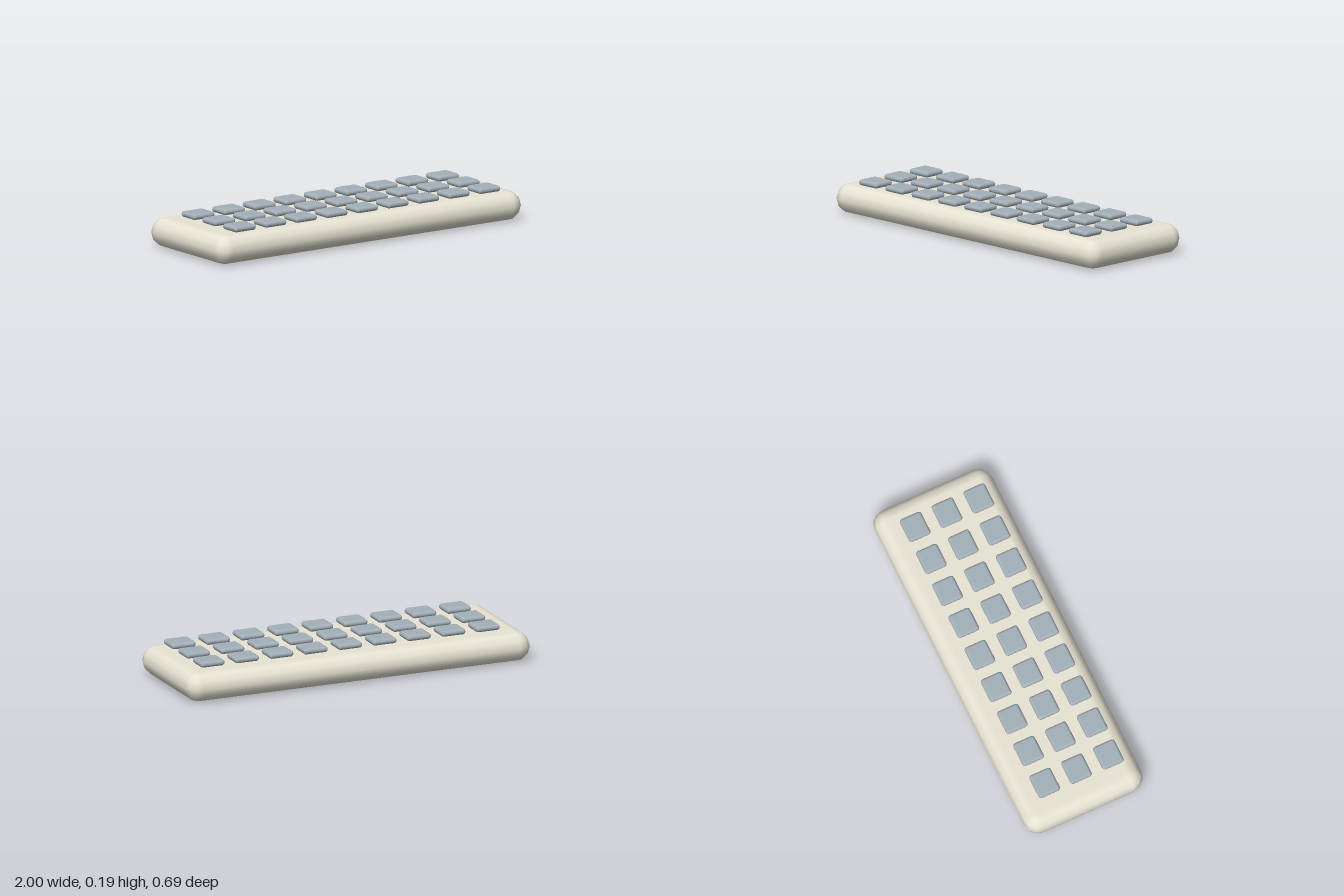
import * as THREE from 'three';

const STEPS = 3; // facets per quarter round

// Slab with fully rounded edges and ball corners, stacked from rounded-rectangle rings.
function roundedSlab(width, height, depth) {
  const r = height / 2;
  const hx = width / 2 - r, hz = depth / 2 - r;
  const corners = [[1, 1], [-1, 1], [-1, -1], [1, -1]];
  const n = 4 * (STEPS + 1), rings = 2 * STEPS;
  const pos = [], nor = [], idx = [];
  for (let j = 0; j <= rings; j++) {
    const lat = -Math.PI / 2 + (j / rings) * Math.PI;
    corners.forEach(([sx, sz], c) => {
      for (let k = 0; k <= STEPS; k++) {
        const a = (c + k / STEPS) * Math.PI / 2;
        const nx = Math.cos(lat) * Math.cos(a), ny = Math.sin(lat), nz = Math.cos(lat) * Math.sin(a);
        pos.push(sx * hx + r * nx, r * ny, sz * hz + r * nz);
        nor.push(nx, ny, nz);
      }
    });
  }
  for (let j = 0; j < rings; j++) {
    for (let i = 0; i < n; i++) {
      const a = j * n + i, b = j * n + (i + 1) % n;
      idx.push(a, a + n, b, b, a + n, b + n);
    }
  }
  // flat bottom and top
  const q = STEPS + 1, t = rings * n;
  idx.push(0, q, 2 * q, 0, 2 * q, 3 * q);
  idx.push(t, t + 2 * q, t + q, t, t + 3 * q, t + 2 * q);
  const geo = new THREE.BufferGeometry();
  geo.setAttribute('position', new THREE.Float32BufferAttribute(pos, 3));
  geo.setAttribute('normal', new THREE.Float32BufferAttribute(nor, 3));
  geo.setIndex(idx);
  return geo;
}

export function createModel() {
  const model = new THREE.Group();
  model.name = 'keypad';

  // Body
  const bodyHeight = 0.161;
  const body = new THREE.Mesh(
    roundedSlab(2, bodyHeight, 0.692),
    new THREE.MeshStandardMaterial({ color: 0xe8e4d4 })
  );
  body.name = 'body';
  body.position.y = bodyHeight / 2;
  model.add(body);

  // Keys: three rows of nine
  const keys = new THREE.Group();
  keys.name = 'keys';
  const keyHeight = 0.032;
  const keyGeo = roundedSlab(0.14, keyHeight, 0.126);
  const keyMat = new THREE.MeshStandardMaterial({ color: 0xa4b0b8 });
  for (let row = 0; row < 3; row++) {
    for (let col = 0; col < 9; col++) {
      const key = new THREE.Mesh(keyGeo, keyMat);
      key.name = `key_${row + 1}_${col + 1}`;
      key.position.set(0.012 + (col - 4) * 0.2, bodyHeight + keyHeight / 2, 0.028 + (row - 1) * 0.187);
      keys.add(key);
    }
  }
  model.add(keys);

  return model;
}
